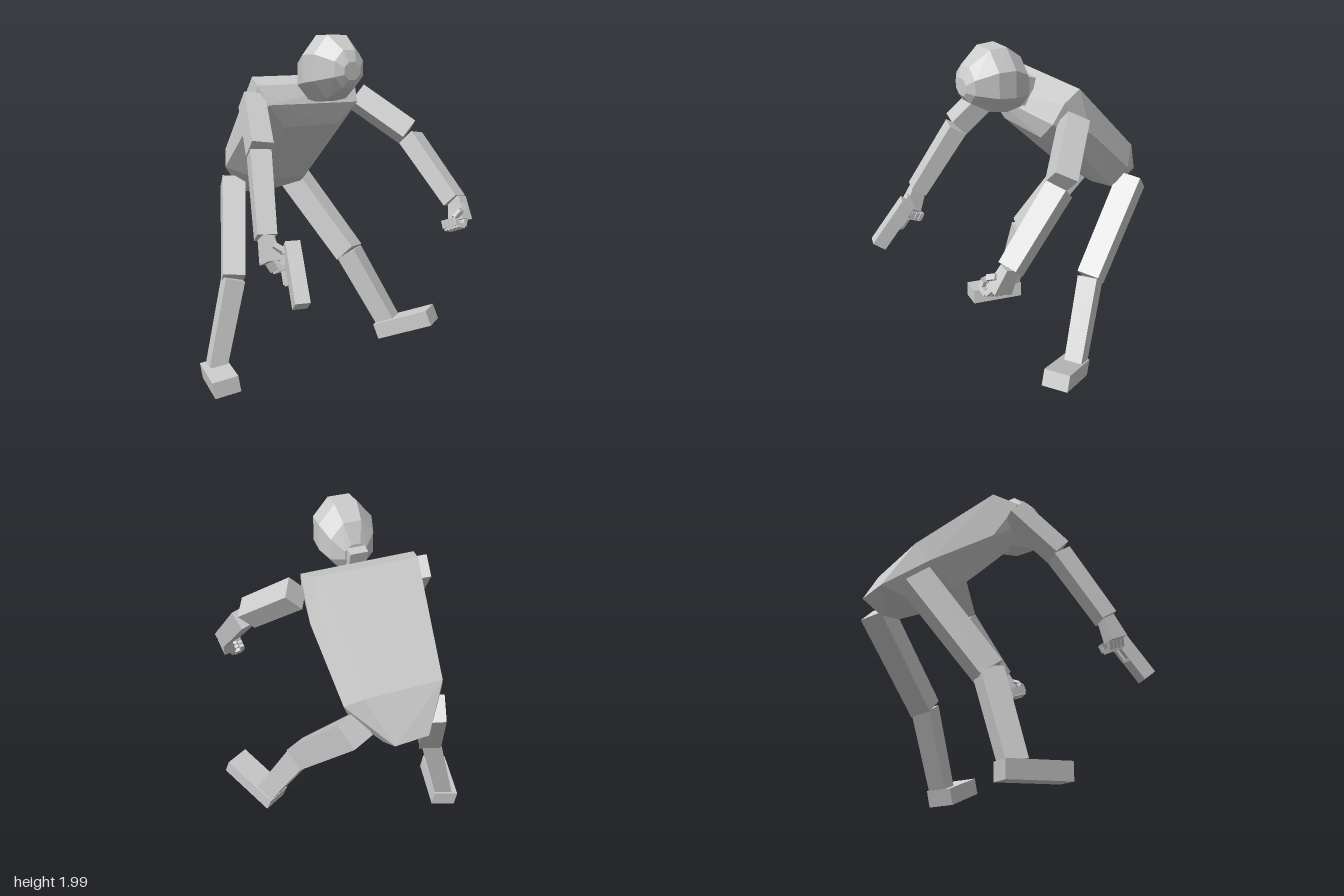
import * as THREE from 'three';
import { ConvexGeometry } from 'three/addons/geometries/ConvexGeometry.js';

const material = new THREE.MeshStandardMaterial({ color: 0xcccccc, flatShading: true });
const V = (a) => new THREE.Vector3(...a);

function addMesh(parent, name, geometry) {
  const mesh = new THREE.Mesh(geometry, material);
  mesh.name = name;
  parent.add(mesh);
  return mesh;
}

// Frame with y along the direction and x as near as possible to the side vector
function basis(dir, side) {
  const y = V(dir).normalize();
  const x = V(side).addScaledVector(y, -V(side).dot(y)).normalize();
  return new THREE.Matrix4().makeBasis(x, y, x.clone().cross(y));
}

// Box running from a to b, tapering by the given factor towards b
function bar(parent, name, a, b, width, depth, side, taper = 1) {
  const dir = V(b).sub(V(a));
  const geometry = new THREE.BoxGeometry(width, dir.length(), depth);
  const p = geometry.attributes.position;
  for (let i = 0; i < p.count; i++) {
    if (p.getY(i) > 0) {
      p.setX(i, p.getX(i) * taper);
      p.setZ(i, p.getZ(i) * taper);
    }
  }
  const mesh = addMesh(parent, name, geometry);
  mesh.quaternion.setFromRotationMatrix(basis(dir.toArray(), side));
  mesh.position.copy(V(a).add(V(b)).multiplyScalar(0.5));
  return mesh;
}

// Half-closed hand: palm, four curled fingers and a thumb
function hand(parent, name, wrist, dir, inward, thumbSide) {
  const group = new THREE.Group();
  group.name = name;
  group.position.set(...wrist);
  group.quaternion.setFromRotationMatrix(basis(dir, inward));
  parent.add(group);
  bar(group, 'palm', [0, -0.03, 0], [0, 0.105, 0], 0.055, 0.085, [1, 0, 0], 1.35);
  const curl = [[0, 0.09], [0.025, 0.145], [0.075, 0.14], [0.08, 0.095]];
  for (let f = 0; f < 4; f++) {
    const z = (f - 1.5) * 0.028;
    for (let s = 0; s < 3; s++) {
      bar(group, 'finger', [...curl[s], z], [...curl[s + 1], z], 0.026, 0.023, [1, 0.2, 0]);
    }
  }
  const t = thumbSide * 0.05;
  bar(group, 'thumb', [0.01, 0.03, t], [0.05, 0.065, t * 1.2], 0.03, 0.03, [1, 0, 0]);
  bar(group, 'thumb', [0.05, 0.065, t * 1.2], [0.085, 0.1, t * 0.8], 0.026, 0.026, [1, 0, 0]);
}

export function createModel() {
  const model = new THREE.Group();
  model.name = 'crouchingFigure';

  // Faceted torso, bent forward from pelvis to shoulders
  addMesh(model, 'torso', new ConvexGeometry([
    [-0.33, 1.77, -0.16], [0.23, 1.77, -0.16], // shoulder ridge
    [-0.375, 1.73, -0.02], [0.27, 1.73, -0.03],
    [-0.345, 1.63, 0.05], [0.25, 1.62, 0.03], // chest
    [-0.225, 1.5, 0.01], [0.12, 1.5, 0.01],
    [-0.37, 1.46, -0.19], [0.285, 1.53, -0.2], // flanks
    [-0.27, 1.31, -0.62], [0.16, 1.31, -0.62], // lower back
    [-0.31, 1.21, -0.55], [0.235, 1.22, -0.53],
    [-0.2, 1.16, -0.33], [0.13, 1.14, -0.35], // belly
    [-0.145, 1.08, -0.745], [0.05, 1.08, -0.757], // pelvis
    [-0.17, 1.035, -0.61], [0, 1.01, -0.64], [0.06, 1.02, -0.64], [0.18, 1.09, -0.47],
  ].map(V)));

  // Head hull from rings [z, bottom, top, half width], running front to back
  const rings = [
    [0.39, 1.77, 1.86, 0.05], [0.36, 1.73, 1.92, 0.09], [0.25, 1.665, 1.995, 0.145],
    [0.15, 1.645, 1.995, 0.15], [0.055, 1.65, 1.925, 0.12], [0.005, 1.71, 1.82, 0.06],
  ];
  const headPoints = [];
  for (const [z, low, high, half] of rings) {
    for (let i = 0; i < 8; i++) {
      const a = ((i + 0.5) / 8) * Math.PI * 2;
      const k = 1 / Math.cos(Math.PI / 8);
      headPoints.push(V([
        -0.05 + half * k * Math.cos(a),
        (low + high) / 2 + ((high - low) / 2) * k * Math.sin(a),
        z,
      ]));
    }
  }
  addMesh(model, 'head', new ConvexGeometry(headPoints));
  bar(model, 'neck', [-0.05, 1.65, 0.03], [-0.05, 1.8, -0.01], 0.1, 0.07, [1, 0, 0]);

  // Left arm
  bar(model, 'leftUpperArm', [0.31, 1.64, -0.06], [0.51, 1.44, 0.17], 0.125, 0.125, [1, 1, 0]);
  bar(model, 'leftForearm', [0.52, 1.41, 0.19], [0.57, 1.09, 0.52], 0.12, 0.105, [0.9, 0, -0.45], 0.9);
  hand(model, 'leftHand', [0.575, 1.08, 0.54], [-0.15, -0.9, 0.4], [-1, 0, 0.1], 1);

  // Right arm
  bar(model, 'rightUpperArm', [-0.39, 1.65, -0.06], [-0.48, 1.42, 0.18], 0.115, 0.125, [1, 0, 0.1]);
  bar(model, 'rightForearm', [-0.485, 1.4, 0.18], [-0.585, 1.02, 0.41], 0.11, 0.11, [1, 0, 0.3], 0.9);
  hand(model, 'rightHand', [-0.585, 1, 0.42], [-0.05, -0.85, 0.4], [1, 0, 0.1], -1);

  // Blocky hand-held device: barrel, grip and trigger guard
  bar(model, 'deviceBarrel', [-0.505, 1.0, 0.52], [-0.565, 0.745, 0.705], 0.075, 0.085, [1, 0, 0.35]);
  bar(model, 'deviceGrip', [-0.52, 0.95, 0.55], [-0.54, 0.87, 0.44], 0.045, 0.06, [1, 0, 0]);
  bar(model, 'triggerGuard', [-0.55, 0.84, 0.61], [-0.555, 0.81, 0.55], 0.02, 0.02, [1, 0, 0]);
  bar(model, 'triggerGuard', [-0.555, 0.81, 0.55], [-0.54, 0.88, 0.5], 0.02, 0.02, [1, 0, 0]);

  // Legs and feet
  const legs = [
    ['left', [0.85, 0, -0.5], [0.2, 1.11, -0.6], [0.355, 0.66, -0.18], [0.51, 0.23, 0.04],
      [0.47, 0.185, 0], [0.645, 0.325, 0.285]],
    ['right', [0.97, 0.15, 0.23], [-0.24, 1.11, -0.59], [-0.425, 0.6, -0.26], [-0.57, 0.1, -0.22],
      [-0.555, 0.065, -0.29], [-0.635, 0.085, 0.04]],
  ];
  for (const [name, side, hip, knee, ankle, heel, toe] of legs) {
    bar(model, name + 'Thigh', hip, knee, 0.14, 0.15, side, 0.93);
    bar(model, name + 'Shin', knee, ankle, 0.115, 0.13, side, 0.9);
    bar(model, name + 'Foot', heel, toe, 0.15, 0.095, side);
  }
  return model;
}
